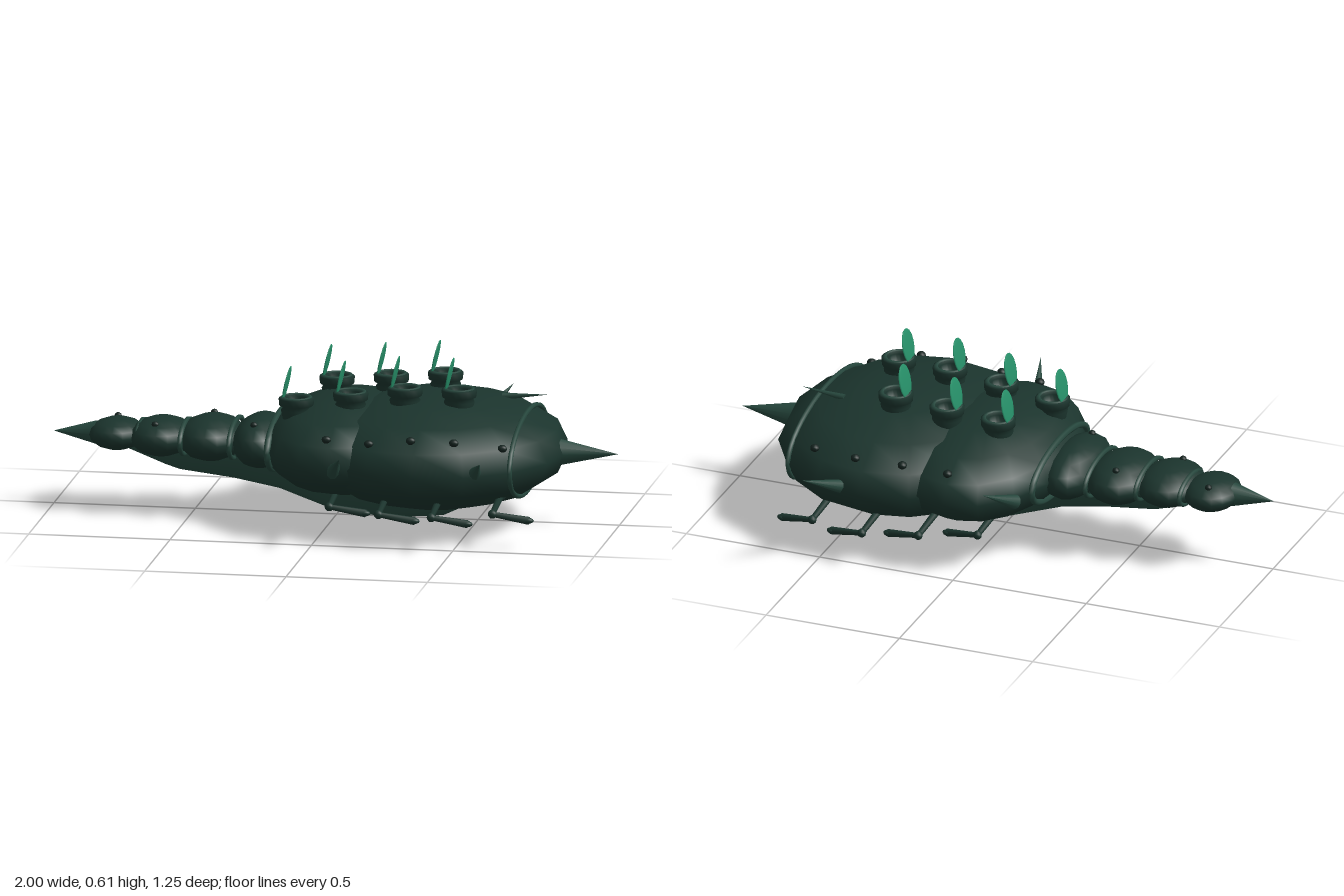
import * as THREE from 'three';

export function createModel() {
  const model = new THREE.Group();
  const mat = (color) => new THREE.MeshStandardMaterial({ color });
  const hull = mat(0x1b342d), trim = mat(0x26473d), dark = mat(0x14231f), green = mat(0x279069);
  hull.side = trim.side = THREE.DoubleSide;
  const V = (x, y, z) => new THREE.Vector3(x, y, z);

  const add = (name, geometry, material, pos = [0, 0, 0]) => {
    const mesh = new THREE.Mesh(geometry, material);
    mesh.name = name;
    mesh.position.set(...pos);
    model.add(mesh);
    return mesh;
  };
  const ellipsoid = (name, c, r, material = hull, w = 16, h = 8) => {
    const mesh = add(name, new THREE.SphereGeometry(1, w, h), material, c);
    mesh.scale.set(...r);
    return mesh;
  };
  // Tapered rod between two points
  const rod = (name, a, b, r0, r1, material = hull, sides = 8) => {
    const dir = b.clone().sub(a);
    const mesh = add(name, new THREE.CylinderGeometry(r1, r0, dir.length(), sides), material,
      a.clone().add(b).multiplyScalar(0.5).toArray());
    mesh.quaternion.setFromUnitVectors(V(0, 1, 0), dir.normalize());
    return mesh;
  };
  // Elliptical band around the x axis
  const band = (name, x, y, z, ry, rz, t) => {
    const pts = [];
    for (let i = 0; i < 16; i++) {
      const a = i * Math.PI / 8;
      pts.push(V(x, y + ry * Math.cos(a), z + rz * Math.sin(a)));
    }
    add(name, new THREE.TubeGeometry(new THREE.CatmullRomCurve3(pts, true), 48, t, 6, true), trim);
  };

  // Two overlapping hull ellipsoids
  const main = { c: [0.36, 0.262, 0.02], r: [0.46, 0.197, 0.515] };
  const fore = { c: [0.05, 0.27, 0], r: [0.3, 0.17, 0.47] };
  ellipsoid('mainBody', main.c, main.r);
  ellipsoid('shoulderBody', fore.c, fore.r);
  band('rearBand', 0.68, 0.262, 0.02, 0.141, 0.37, 0.009);
  band('tailRootBand', -0.2, 0.267, 0, 0.094, 0.262, 0.012);

  // Tail segments with a band at each joint
  const tail = [
    [-0.26, 0.015, 0.1, 0.092, 0.207],
    [-0.44, 0, 0.12, 0.079, 0.176],
    [-0.615, 0.012, 0.115, 0.068, 0.15],
    [-0.775, 0, 0.1, 0.056, 0.122],
  ];
  tail.forEach(([x, z, rx, ry, rz], i) => {
    ellipsoid('tailSegment', [x, 0.262, z], [rx, ry, rz]);
    if (i) band('tailBand', x + 0.085, 0.262, z, ry * 0.82, rz * 0.86, 0.009);
    ellipsoid('tailStud', [x - 0.01, 0.262 + ry * 0.82, z + rz * 0.55 * (i % 2 ? -1 : 1)],
      [0.013, 0.012, 0.013], dark, 8, 6);
  });

  // End spikes
  rod('tailSpike', V(-0.85, 0.262, 0.005), V(-1, 0.262, 0.005), 0.042, 0, trim, 12);
  rod('rearSpike', V(0.79, 0.262, 0.025), V(1, 0.262, 0.025), 0.048, 0, trim, 12);

  // Belly keel lofted from U-shaped sections: x, top, bottom, half width
  const sections = [
    [-0.74, 0.24, 0.215, 0.006], [-0.6, 0.24, 0.16, 0.022], [-0.55, 0.24, 0.145, 0.026],
    [-0.36, 0.23, 0.122, 0.032], [-0.2, 0.22, 0.092, 0.035], [0, 0.16, 0.02, 0.035],
    [0.2, 0.14, 0.003, 0.035], [0.38, 0.14, 0.018, 0.033], [0.48, 0.14, 0.065, 0.025],
    [0.55, 0.14, 0.1, 0.006],
  ];
  const N = 12, pos = [], idx = [];
  sections.forEach(([x, top, bottom, w], s) => {
    for (let i = 0; i <= N; i++) {
      const a = Math.PI * i / N;
      pos.push(x, top - (top - bottom) * Math.sin(a), 0.017 + w * Math.cos(a));
      if (s && i < N) {
        const q = s * (N + 1) + i, p = q - N - 1;
        idx.push(p, p + 1, q, q, p + 1, q + 1);
      }
    }
  });
  const keel = new THREE.BufferGeometry();
  keel.setAttribute('position', new THREE.Float32BufferAttribute(pos, 3));
  keel.setIndex(idx);
  keel.computeVertexNormals();
  add('bellyKeel', keel, trim);

  // Open pots in two staggered rows, each with an upright lid
  const profile = [[0.045, -0.09], [0.054, -0.045], [0.048, -0.035], [0.06, -0.028], [0.062, -0.004],
    [0.056, 0], [0.042, 0], [0.036, -0.008], [0.034, -0.04], [0, -0.042]]
    .map(([r, y]) => new THREE.Vector2(r, y));
  const potGeo = new THREE.LatheGeometry(profile, 18);
  const rowTops = [0.447, 0.47, 0.474, 0.484, 0.498, 0.5, 0.5];
  rowTops.forEach((y, i) => {
    const x = -0.118 + i * 0.096, z = i % 2 ? -0.13 : 0.138;
    add('pot', potGeo, hull, [x, y, z]);
    const rim = add('potRim', new THREE.TorusGeometry(0.049, 0.008, 6, 18), trim, [x, y - 0.004, z]);
    rim.rotation.x = Math.PI / 2;
    const lid = ellipsoid('potLid', [x - 0.034, y + 0.048, z], [0.005, 0.063, 0.05], green, 12, 8);
    lid.rotation.z = -0.22;
  });

  // Legs: knee x, knee z
  const legs = [[0.05, 0.43], [0.24, 0.52], [0.43, 0.535], [0.63, 0.445],
    [-0.04, -0.37], [0.15, -0.45], [0.34, -0.505], [0.54, -0.47]];
  for (const [x, z] of legs) {
    const s = Math.sign(z);
    const knee = V(x, 0.127, z);
    rod('leg', V(x - 0.005, 0.152, z - s * 0.2), knee, 0.014, 0.01);
    ellipsoid('hip', [x - 0.005, 0.15, z - s * 0.18], [0.02, 0.018, 0.02], hull, 8, 6);
    ellipsoid('knee', knee.toArray(), [0.016, 0.016, 0.016], hull, 8, 6);
    rod('foot', knee, V(x + 0.125, 0.102, z - s * 0.028), 0.009, 0.014);
    ellipsoid('toe', [x + 0.12, 0.103, z - s * 0.027], [0.022, 0.011, 0.016], hull, 8, 6);
  }

  // Side horns and the back thorn
  const horns = [
    [0.06, 0.25, 0.43, 0.12, 0.34, 0.62], [0.56, 0.26, 0.43, 0.615, 0.34, 0.61],
    [0.435, 0.265, -0.45, 0.515, 0.352, -0.625], [-0.165, 0.26, -0.33, -0.105, 0.34, -0.48],
  ];
  for (const [a, b, c, d, e, f] of horns) rod('sideHorn', V(a, b, c), V(d, e, f), 0.026, 0, trim, 10);
  rod('backThorn', V(0.57, 0.425, -0.095), V(0.73, 0.438, -0.09), 0.013, 0, trim);

  // Studs seated on the upper hull
  const surfaceY = (x, z) => Math.max(...[main, fore].map(({ c, r }) =>
    c[1] + r[1] * Math.sqrt(Math.max(0, 1 - ((x - c[0]) / r[0]) ** 2 - ((z - c[2]) / r[2]) ** 2))));
  const studs = [[0.035, 0.4], [0.19, 0.43], [0.34, 0.44], [0.49, 0.425], [0.65, 0.36],
    [0.06, -0.4], [0.23, -0.4], [0.4, -0.415], [0.57, -0.37]];
  for (const [x, z] of studs) {
    ellipsoid('hullStud', [x, surfaceY(x, z), z], [0.017, 0.014, 0.017], dark, 8, 6);
  }

  return model;
}
